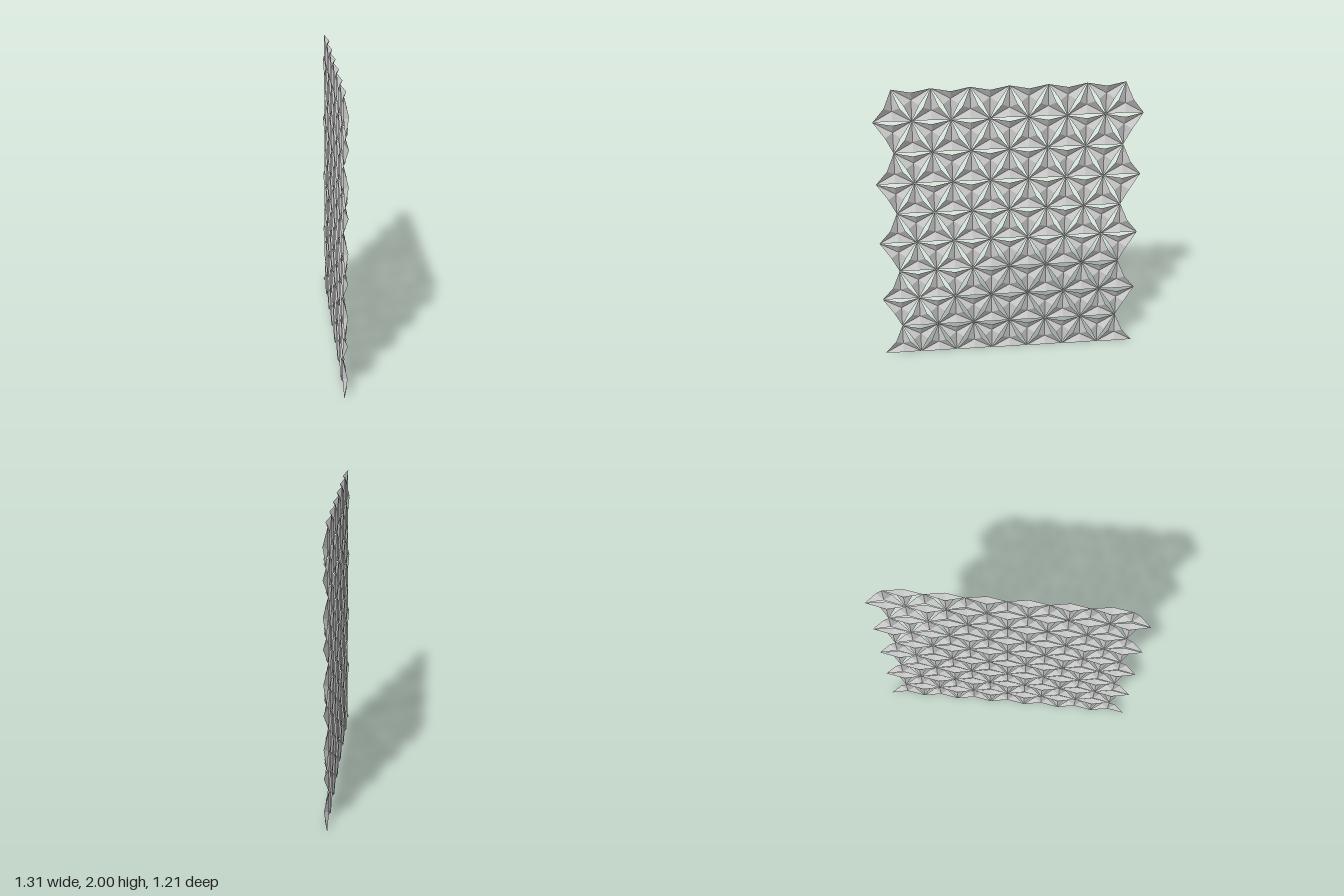
import * as THREE from 'three';

const SIDE = 0.2552;      // triangle edge length
const ROW = 2 / 9;        // row height
const PULL = 0.015;       // edge middles drawn inwards, opening the gaps
const FOLD = 0.028;       // edge middles folded out of the panel plane

// One folded triangular shade: six facets around a centre point, tip up
function foldedTriangle() {
  const corners = [
    new THREE.Vector3(-SIDE / 2, -ROW / 3, 0),
    new THREE.Vector3(SIDE / 2, -ROW / 3, 0),
    new THREE.Vector3(0, 2 * ROW / 3, 0),
  ];
  const centre = new THREE.Vector3();
  const points = [];
  corners.forEach((a, i) => {
    const b = corners[(i + 1) % 3];
    const mid = a.clone().add(b).multiplyScalar(0.5);
    mid.setLength(mid.length() - PULL).setZ(FOLD);
    points.push(centre, a, mid, centre, mid, b);
  });
  const geometry = new THREE.BufferGeometry().setFromPoints(points);
  geometry.computeVertexNormals();
  return geometry;
}

export function createModel() {
  const model = new THREE.Group();
  model.name = 'foldedScreen';
  const material = new THREE.MeshStandardMaterial({
    color: 0xcccccc, flatShading: true, side: THREE.DoubleSide,
  });
  const geometry = foldedTriangle();

  // Nine rows, alternating seven and six upright triangles with inverted ones between
  for (let r = 0; r < 9; r++) {
    const row = new THREE.Group();
    row.name = `row${r + 1}`;
    row.position.y = r * ROW;
    for (let k = 0; k < 13; k++) {
      const inverted = (k + r) % 2 === 1;
      const tile = new THREE.Mesh(geometry, material);
      tile.name = inverted ? 'invertedTriangle' : 'uprightTriangle';
      tile.position.set((k - 6) * SIDE / 2, ROW * (inverted ? 2 : 1) / 3, 0);
      if (inverted) tile.rotation.z = Math.PI;
      row.add(tile);
    }
    model.add(row);
  }

  // The screen stands diagonally
  model.rotation.y = Math.atan2(0.6075, 0.655);
  return model;
}
